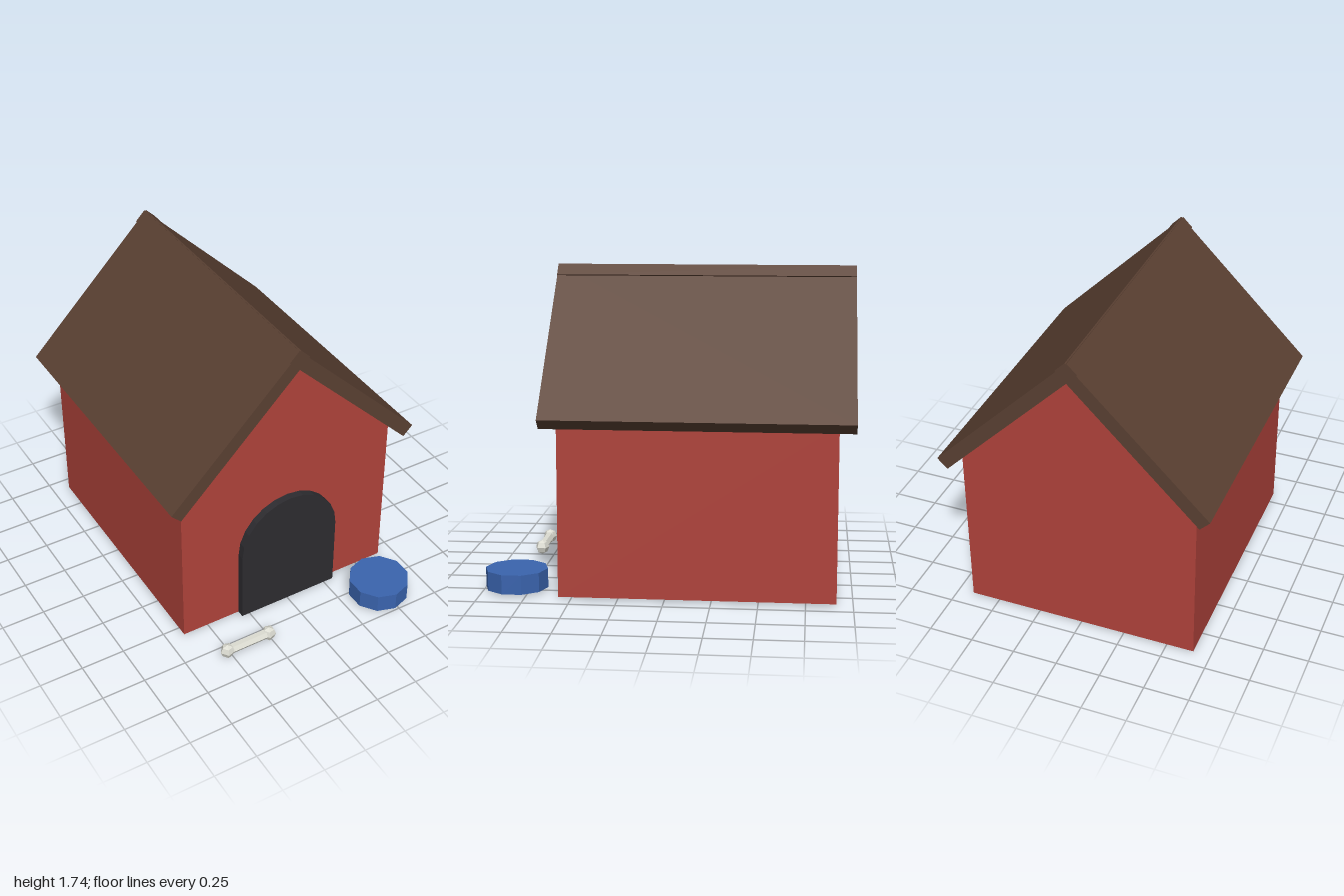
import * as THREE from 'three';

const mat = (color) => new THREE.MeshStandardMaterial({ color, flatShading: true });
const red = mat(0xb0433b), brown = mat(0x5a4032), dark = mat(0x2d2c30);
const blue = mat(0x3a64ae), bone = mat(0xdcdcd2);

function add(parent, name, geometry, material, x = 0, y = 0, z = 0) {
  const mesh = new THREE.Mesh(geometry, material);
  mesh.name = name;
  mesh.position.set(x, y, z);
  parent.add(mesh);
  return mesh;
}

const extrude = (shape, depth, curveSegments = 6) =>
  new THREE.ExtrudeGeometry(shape, { depth, bevelEnabled: false, curveSegments });

export function createModel() {
  const model = new THREE.Group();
  model.name = 'doghouse';

  // Gabled walls
  const gable = new THREE.Shape([
    [-0.655, 0.012], [0.655, 0.012], [0.655, 0.967], [0, 1.622], [-0.655, 0.967],
  ].map(([x, y]) => new THREE.Vector2(x, y)));
  add(model, 'walls', extrude(gable, 1.48), red, 0, 0, -0.912);

  // Two roof panels that cross slightly at the ridge
  for (const side of [1, -1]) {
    const panel = add(model, side > 0 ? 'leftRoofPanel' : 'rightRoofPanel',
      new THREE.BoxGeometry(1.075, 0.078, 1.655), brown, side * 0.347, 1.337, -0.173);
    panel.rotation.z = -side * Math.PI / 4;
  }

  // Arched doorway panel
  const arch = new THREE.Shape();
  arch.moveTo(-0.304, 0.012);
  arch.lineTo(0.304, 0.012);
  arch.lineTo(0.304, 0.446);
  arch.absarc(0, 0.446, 0.304, 0, Math.PI, false);
  add(model, 'doorway', extrude(arch, 0.06), dark, 0, 0, 0.55);

  // Bowl
  add(model, 'bowl', new THREE.CylinderGeometry(0.172, 0.172, 0.106, 10), blue, 0.475, 0.065, 0.825);

  // Bone with a knob at each end
  const toy = new THREE.Group();
  toy.name = 'bone';
  toy.position.set(-0.393, 0.043, 0.822);
  model.add(toy);
  add(toy, 'boneShaft', new THREE.CylinderGeometry(0.028, 0.028, 0.27, 6), bone).rotation.z = Math.PI / 2;
  for (const side of [1, -1]) {
    add(toy, 'boneKnob', new THREE.SphereGeometry(0.042, 5, 4), bone, side * 0.132);
  }
  return model;
}
